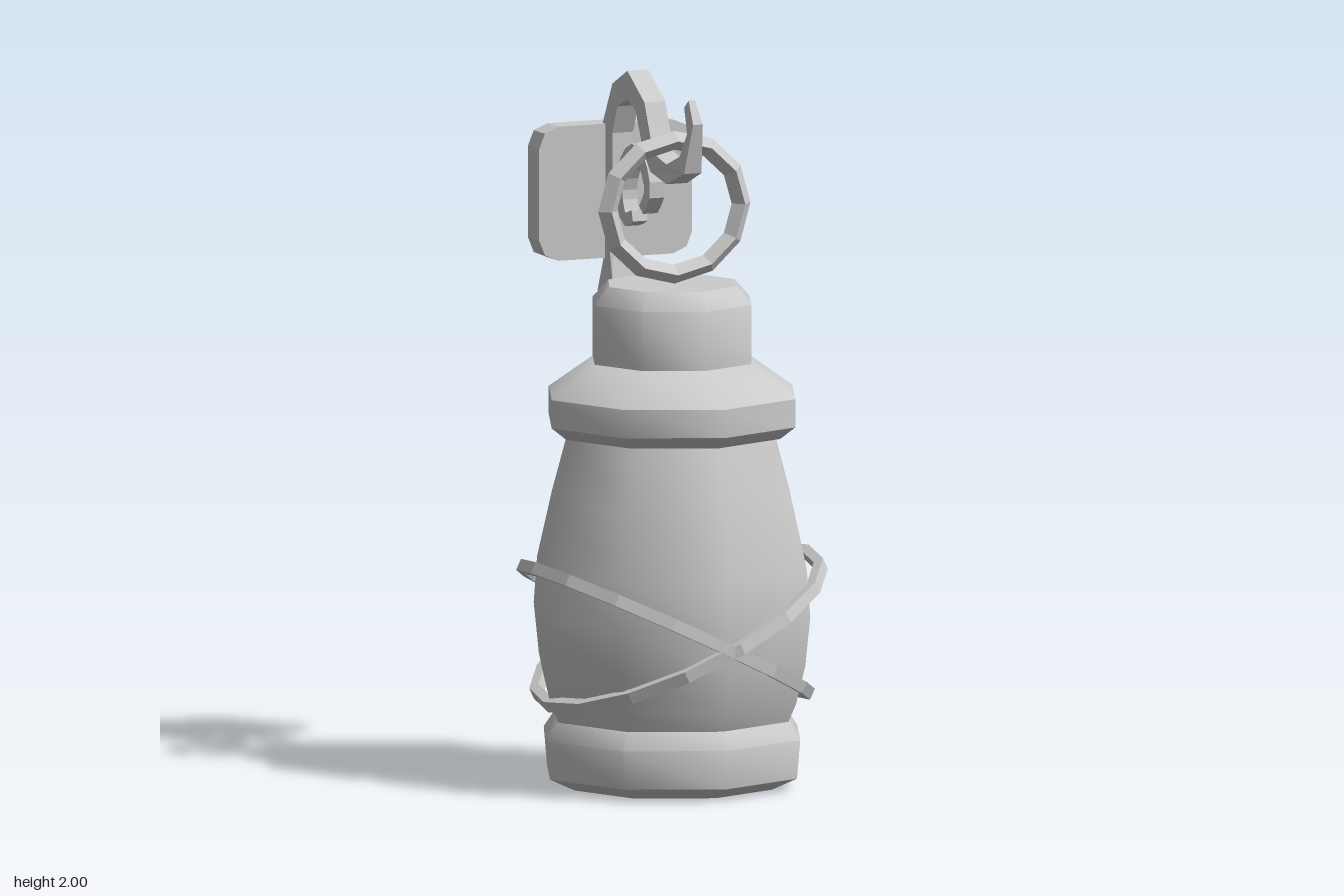
import * as THREE from 'three';
import { toCreasedNormals } from 'three/addons/utils/BufferGeometryUtils.js';

const smooth = new THREE.MeshStandardMaterial({ color: 0xcccccc });
const flat = new THREE.MeshStandardMaterial({ color: 0xcccccc, flatShading: true });
const AXIS_X = -0.008; // the hook, ring and plate sit a touch off centre

const vectors = (pts) => pts.map(([a, b]) => new THREE.Vector2(a, b));

function add(parent, name, geometry, material = flat) {
  const mesh = new THREE.Mesh(geometry, material);
  mesh.name = name;
  parent.add(mesh);
  return mesh;
}

// Eight-sided turned part, smooth around and sharp at its rims
const turned = (profile) =>
  toCreasedNormals(new THREE.LatheGeometry(vectors(profile), 8), 0.82);

// Outline given as [z, y], thickened along x about the middle
function sideCut(outline, width) {
  const g = new THREE.ExtrudeGeometry(new THREE.Shape(vectors(outline)), {
    depth: width, bevelEnabled: false,
  });
  return g.translate(0, 0, -width / 2).rotateY(-Math.PI / 2);
}

// Outline of a [z, y] path whose half width tapers towards both ends
function ribbon(path, half, steps) {
  const curve = new THREE.CatmullRomCurve3(path.map(([z, y]) => new THREE.Vector3(z, y, 0)));
  const left = [], right = [];
  for (let i = 0; i <= steps; i++) {
    const t = i / steps;
    const p = curve.getPoint(t), d = curve.getTangent(t);
    const w = half * (0.65 + 0.35 * Math.sin(Math.PI * t));
    left.push([p.x - d.y * w, p.y + d.x * w]);
    right.unshift([p.x + d.y * w, p.y - d.x * w]);
  }
  return [...left, ...right];
}

export function createModel() {
  const model = new THREE.Group();
  model.name = 'hangingBottle';

  // Bottle, from the foot up
  add(model, 'base', turned([
    [0, 0.005], [0.3, 0.005], [0.375, 0.04], [0.385, 0.15], [0.35, 0.2], [0.3, 0.2],
  ]), smooth);
  add(model, 'belly', turned([
    [0.345, 0.19], [0.372, 0.25], [0.4, 0.36], [0.415, 0.5], [0.405, 0.63], [0.36, 0.82], [0.308, 1.005],
  ]), smooth);
  add(model, 'collar', turned([
    [0.29, 1.0], [0.325, 1.0], [0.37, 1.035], [0.37, 1.115], [0.235, 1.21], [0.2, 1.21],
  ]), smooth);
  add(model, 'stopper', turned([
    [0.238, 1.2], [0.238, 1.375], [0.192, 1.425], [0, 1.425],
  ]), smooth);

  // Two flat bands crossing at the front and back
  for (const side of [1, -1]) {
    const h = 0.017;
    const g = new THREE.LatheGeometry(
      vectors([[0.412, -h], [0.44, -h], [0.44, h], [0.412, h], [0.412, -h]]), 16);
    g.scale(1.03, 1, 1).rotateZ(side * 0.455).translate(side * 0.02, 0.445, 0);
    add(model, side > 0 ? 'leftBand' : 'rightBand', g);
  }

  // Ring with a diamond section standing on the stopper
  const ring = new THREE.TorusGeometry(0.205, 0.029, 4, 12);
  ring.scale(1, 0.925, 1).translate(AXIS_X, 1.645, 0.034);
  add(model, 'hangingRing', ring);

  // Hook: post, arch and upturned tip in one cut
  const hook = sideCut([
    [-0.29, 1.355], [-0.317, 1.46], [-0.317, 1.66], [-0.32, 1.81], [-0.286, 1.89], [-0.217, 1.92],
    [-0.16, 1.894], [-0.11, 1.79], [-0.06, 1.735], [0.05, 1.714], [0.16, 1.757], [0.196, 1.9],
    [0.153, 1.963], [0.127, 1.94], [0.16, 1.87], [0.12, 1.8], [0.05, 1.77], [-0.04, 1.79],
    [-0.1, 1.926], [-0.217, 2.0], [-0.32, 1.95], [-0.386, 1.83], [-0.375, 1.66], [-0.375, 1.46],
    [-0.4, 1.355],
  ], 0.064);
  // Narrow the tip and flare the foot
  const p = hook.attributes.position;
  for (let i = 0; i < p.count; i++) {
    const y = p.getY(i), z = p.getZ(i);
    let k = 1;
    if (z > 0.08) k = THREE.MathUtils.mapLinear(y, 1.75, 1.963, 0.85, 0.3);
    else if (y < 1.4) k = 1.3;
    p.setX(i, p.getX(i) * k + AXIS_X);
  }
  add(model, 'hook', hook);

  // Scroll under the arch
  const curl = sideCut(ribbon([
    [-0.205, 1.59], [-0.26, 1.575], [-0.295, 1.64], [-0.27, 1.725], [-0.2, 1.77], [-0.135, 1.745],
    [-0.102, 1.67], [-0.145, 1.615],
  ], 0.025, 16), 0.045);
  add(model, 'scroll', curl.translate(AXIS_X, 0, 0));

  // Wall plate with clipped, softened corners
  const plate = new THREE.Shape();
  const W = 0.235, H = 0.19, r = 0.06;
  plate.moveTo(W, -H + r);
  for (const [sx, sy, a] of [[1, 1, 0], [-1, 1, 1], [-1, -1, 2], [1, -1, 3]]) {
    for (let i = 0; i <= 2; i++) {
      const t = (a + i / 2) * Math.PI / 2;
      plate.lineTo(sx * (W - r) + r * Math.cos(t), sy * (H - r) + r * Math.sin(t));
    }
  }
  const plateGeo = new THREE.ExtrudeGeometry(plate, { depth: 0.077, bevelEnabled: false });
  add(model, 'wallPlate', plateGeo.translate(AXIS_X, 1.64, -0.445));

  return model;
}
